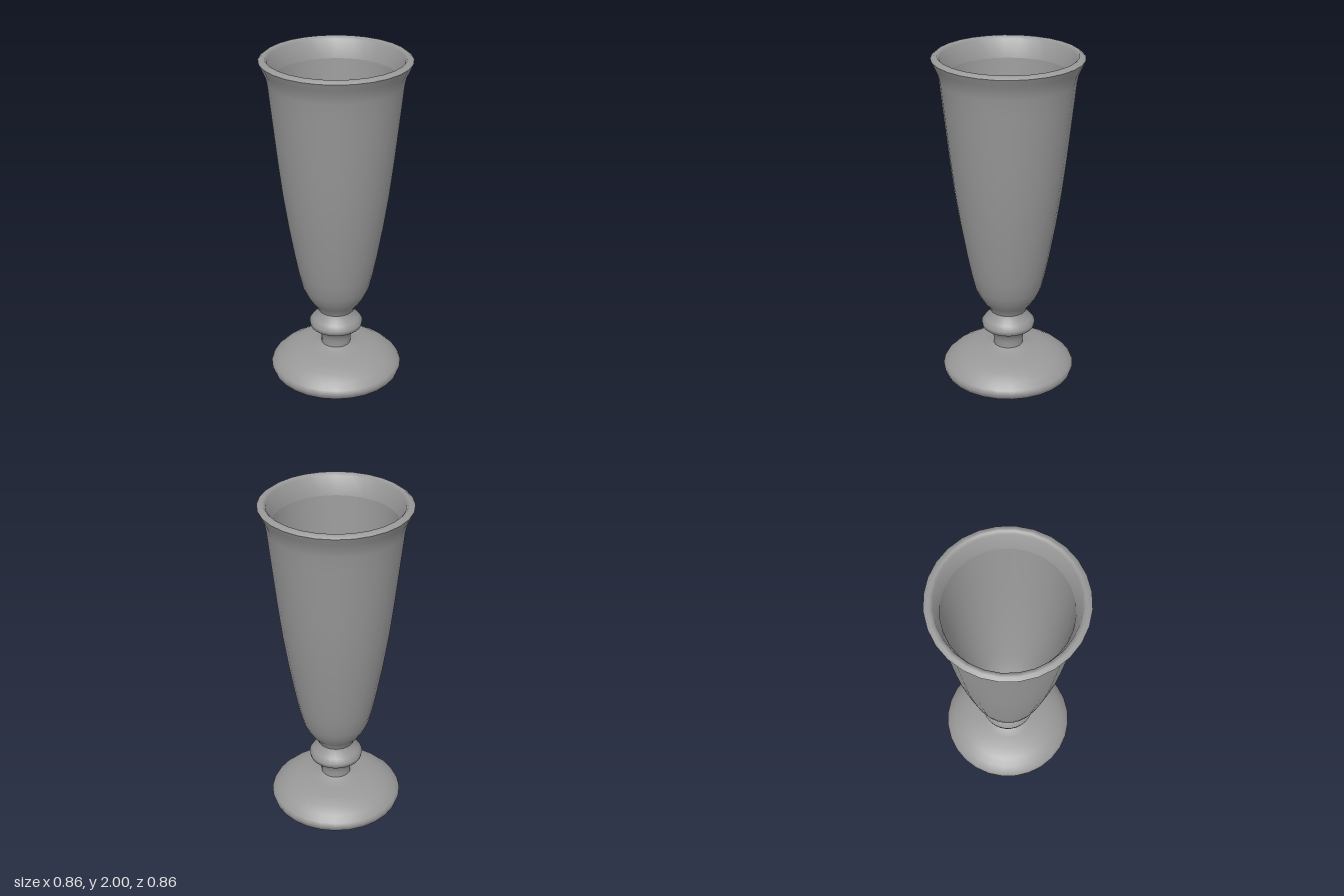
import * as THREE from 'three';
import { toCreasedNormals } from 'three/addons/utils/BufferGeometryUtils.js';

const SIDES = 28;

export function createModel() {
  const group = new THREE.Group();
  group.name = 'footedVase';
  const grey = new THREE.MeshStandardMaterial({ color: 0x999999 });
  grey.name = 'grey';

  // Turn a profile of [radius, height] points around the y axis
  function turn(name, profile) {
    const points = profile.map(([r, y]) => new THREE.Vector2(r, y));
    const geometry = toCreasedNormals(new THREE.LatheGeometry(points, SIDES), 1.0);
    const mesh = new THREE.Mesh(geometry, grey);
    mesh.name = name;
    group.add(mesh);
  }

  // Domed foot with a rounded edge
  turn('foot', [
    [0.33, 0.0], [0.35, 0.004], [0.385, 0.025], [0.396, 0.06], [0.385, 0.08], [0.35, 0.112],
    [0.3, 0.142], [0.24, 0.163], [0.17, 0.175], [0.12, 0.183], [0.088, 0.198],
  ]);

  // Stem with its collar
  turn('stem', [
    [0.088, 0.198], [0.088, 0.235], [0.096, 0.268], [0.115, 0.295], [0.155, 0.317],
    [0.16, 0.345], [0.14, 0.372], [0.118, 0.4], [0.108, 0.425],
  ]);

  // Tall outer wall of the cup, flaring into the lip
  turn('cup', [
    [0.108, 0.425], [0.118, 0.45], [0.145, 0.482], [0.172, 0.525], [0.198, 0.58], [0.222, 0.68],
    [0.246, 0.8], [0.281, 1.0], [0.311, 1.2], [0.335, 1.4], [0.356, 1.6], [0.372, 1.75],
    [0.383, 1.86], [0.392, 1.905], [0.41, 1.945], [0.428, 1.985],
  ]);

  // Lip, bevelled outside and stepped inside
  turn('lip', [[0.428, 1.985], [0.408, 2.0], [0.393, 2.0], [0.38, 1.985], [0.35, 1.88]]);

  // Inside wall of the cup
  turn('lining', [
    [0.35, 1.88], [0.325, 1.6], [0.305, 1.4], [0.281, 1.2], [0.251, 1.0], [0.216, 0.8],
    [0.192, 0.68], [0.168, 0.59], [0.143, 0.54], [0.115, 0.5], [0.065, 0.46], [0.058, 0.44],
  ]);

  // Bore running through the stem
  turn('bore', [[0.058, 0.44], [0.058, 0.17]]);

  // Hollow under the foot
  turn('footHollow', [
    [0.058, 0.17], [0.085, 0.155], [0.17, 0.145], [0.24, 0.132], [0.3, 0.108],
    [0.335, 0.075], [0.345, 0.045], [0.33, 0.0],
  ]);

  return group;
}
